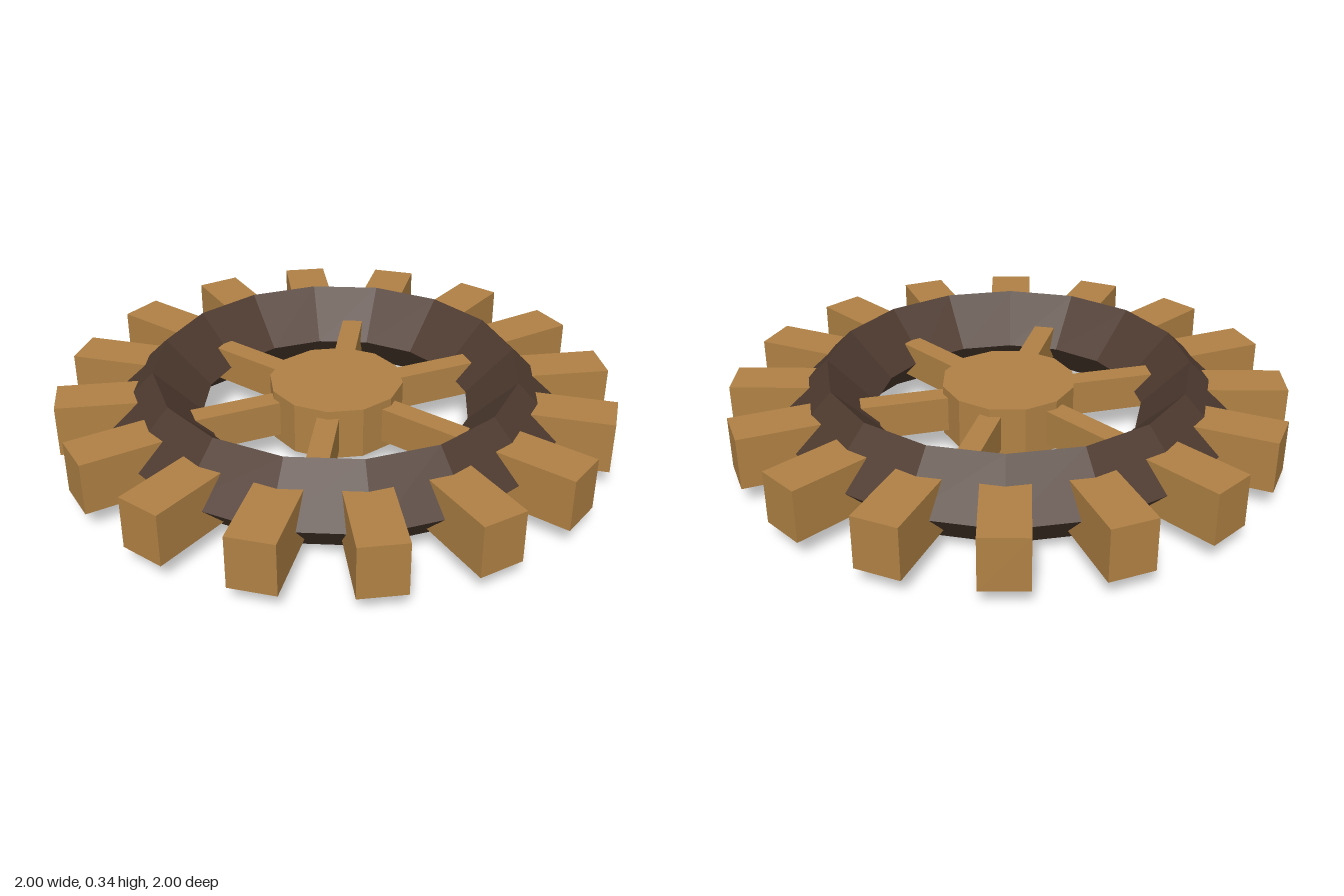
import * as THREE from 'three';

const wood = new THREE.MeshStandardMaterial({ color: 0xb08144, flatShading: true });
const darkWood = new THREE.MeshStandardMaterial({ color: 0x4e3a2f, flatShading: true });
const MID = 0.168; // height of the wheel's middle plane

// Evenly spaced radial bars reaching from radius r0 to r1
function radialBars(name, count, r0, r1, height, width) {
  const group = new THREE.Group();
  group.name = name + 's';
  const geometry = new THREE.BoxGeometry(r1 - r0, height, width);
  geometry.translate((r0 + r1) / 2, 0, 0);
  for (let i = 0; i < count; i++) {
    const bar = new THREE.Mesh(geometry, wood);
    bar.name = name;
    bar.rotation.y = (i / count) * Math.PI * 2;
    group.add(bar);
  }
  return group;
}

export function createModel() {
  const gear = new THREE.Group();
  gear.name = 'gearWheel';

  // Rim: ring with a diamond cross-section
  const rim = new THREE.Mesh(new THREE.TorusGeometry(0.655, MID, 4, 16).rotateX(Math.PI / 2), darkWood);
  rim.name = 'rim';

  // Hub
  const hub = new THREE.Mesh(new THREE.CylinderGeometry(0.243, 0.243, 0.19, 12), wood);
  hub.name = 'hub';

  // Teeth sunk into the rim, spokes joining hub and rim
  gear.add(rim, hub,
    radialBars('tooth', 16, 0.66, 1, 0.19, 0.162),
    radialBars('spoke', 6, 0.15, 0.558, 0.13, 0.078));
  for (const part of gear.children) part.position.y = MID;
  return gear;
}
